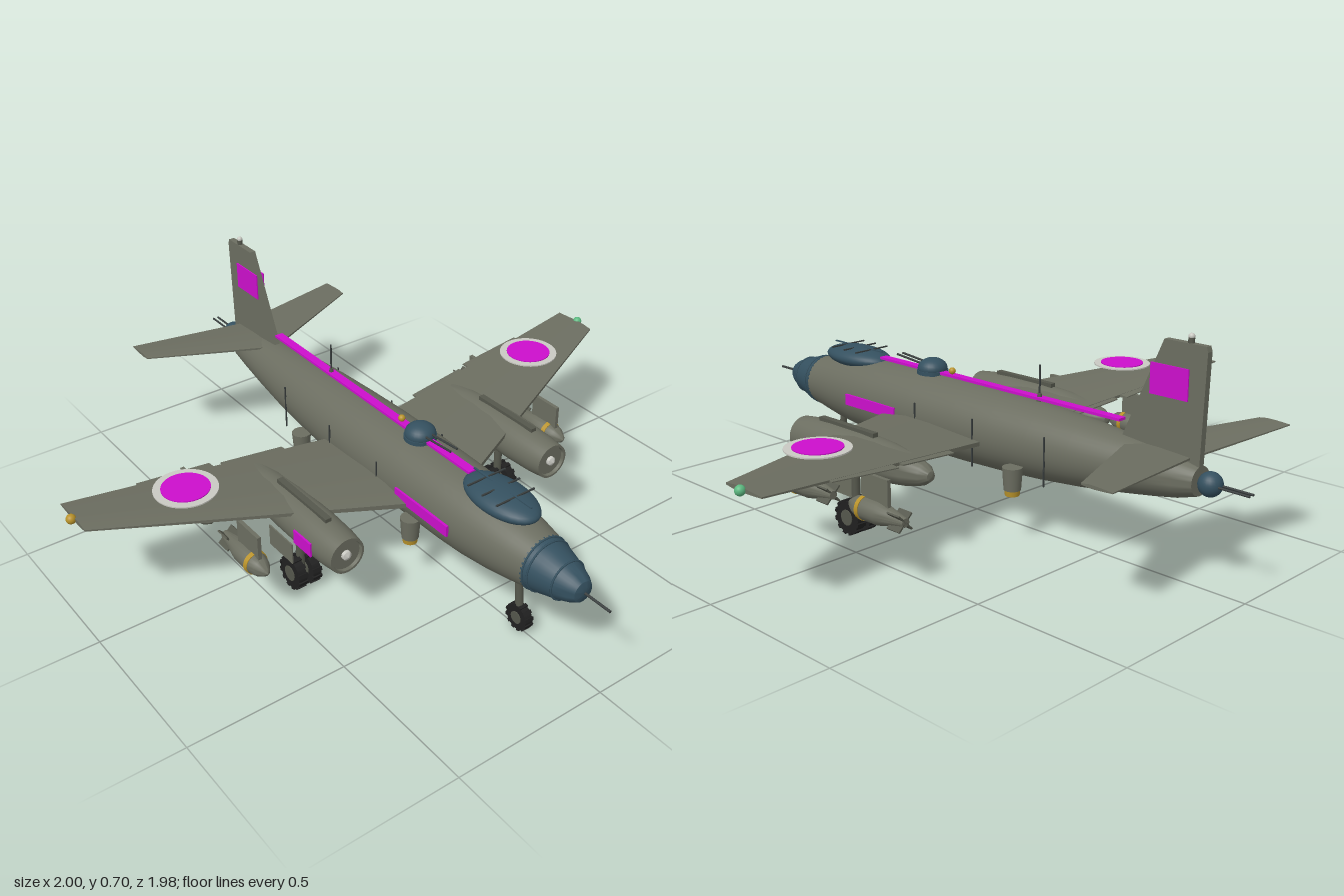
import * as THREE from 'three';
import { toCreasedNormals } from 'three/addons/utils/BufferGeometryUtils.js';

const paint = (name, color) => Object.assign(new THREE.MeshStandardMaterial({ color }), { name });

export function createModel() {
  const model = new THREE.Group();
  model.name = 'aircraft';
  const olive = paint('olive skin', 0x6b6d60), glass = paint('blue glass', 0x34505f);
  const magenta = paint('magenta marking', 0xcc0fcc), pale = paint('pale ring', 0xc9c9c2);
  const rubber = paint('black rubber', 0x202020), metal = paint('dark metal', 0x383d3d);
  const amber = paint('amber', 0xb8922a), green = paint('green light', 0x5cb880);
  const trim = paint('dark olive trim', 0x55574c);

  const add = (name, geo, mat, x = 0, y = 0, z = 0, parent = model) => {
    const m = new THREE.Mesh(geo, mat);
    m.name = name;
    m.position.set(x, y, z);
    parent.add(m);
    return m;
  };
  const box = (name, mat, w, h, d, x, y, z, parent) =>
    add(name, new THREE.BoxGeometry(w, h, d), mat, x, y, z, parent);
  const ball = (name, mat, r, x, y, z, sy = 1) =>
    add(name, new THREE.SphereGeometry(r, 24, 16).scale(1, sy, 1), mat, x, y, z);
  // rod between two points
  const rod = (name, mat, a, b, r0, r1 = r0, sides = 12) => {
    const p = new THREE.Vector3(...a), q = new THREE.Vector3(...b), d = q.clone().sub(p);
    const m = add(name, new THREE.CylinderGeometry(r1, r0, d.length(), sides), mat);
    m.position.copy(p.add(q).multiplyScalar(0.5));
    m.quaternion.setFromUnitVectors(new THREE.Vector3(0, 1, 0), d.normalize());
    return m;
  };
  // body of revolution along x; profile is [x, radius] from tail to nose
  const spin = (name, mat, profile, y, z, sides = 32, smooth = 0.6) => {
    const g = new THREE.LatheGeometry(profile.map(([x, r]) => new THREE.Vector2(r, x)), sides);
    return add(name, toCreasedNormals(g.rotateZ(-Math.PI / 2), smooth), mat, 0, y, z);
  };
  // tapered panel; sections are { z, y, front, back, t }
  const panel = (name, mat, side, root, tip) => {
    const g = new THREE.BoxGeometry(1, 1, 1, 4, 1, 1), p = g.attributes.position;
    const thick = [0.3, 0.65, 0.95, 1, 0.35];
    for (let i = 0; i < p.count; i++) {
      const u = p.getX(i) + 0.5, s = p.getZ(i) * side > 0 ? tip : root;
      p.setXYZ(i, s.back + (s.front - s.back) * u,
        s.y + p.getY(i) * s.t * thick[Math.round(u * 4)], s.z * side);
    }
    return add(name, toCreasedNormals(g, 0.3), mat);
  };

  // fuselage, slightly raised toward the tail
  const hull = spin('fuselage', olive, [[-0.84, 0], [-0.84, 0.042], [-0.78, 0.058], [-0.7, 0.07], [-0.6, 0.083],
    [-0.45, 0.1], [-0.3, 0.112], [-0.15, 0.12], [0, 0.125], [0.2, 0.127], [0.4, 0.124], [0.5, 0.119],
    [0.6, 0.108], [0.68, 0.095], [0.745, 0.083]], 0.288, 0, 40);
  const hp = hull.geometry.attributes.position;
  for (let i = 0; i < hp.count; i++) {
    const x = hp.getX(i);
    if (x < 0) hp.setY(i, hp.getY(i) + 0.016 * (x / 0.84) ** 2);
  }

  // glazed nose with frame hoops and gun
  spin('noseGlass', glass, [[0.74, 0.084], [0.79, 0.074], [0.84, 0.06], [0.88, 0.045], [0.9, 0.033], [0.906, 0.018], [0.908, 0]], 0.288, 0);
  for (const [x, r] of [[0.748, 0.083], [0.765, 0.08], [0.84, 0.061]])
    add('noseHoop', new THREE.TorusGeometry(r, 0.003, 6, 32).rotateY(Math.PI / 2), glass, x, 0.288, 0);
  rod('noseGun', metal, [0.89, 0.288, 0], [1, 0.288, 0], 0.004);

  // tail turret with twin guns
  ball('tailTurret', glass, 0.035, -0.872, 0.304, 0);
  for (const z of [-0.009, 0.009]) rod('tailGun', metal, [-0.88, 0.304, z], [-1, 0.304, z], 0.0035);

  // canopy and frame bars
  add('canopy', new THREE.SphereGeometry(1, 32, 20).scale(0.14, 0.036, 0.077), glass, 0.565, 0.404, 0);
  box('canopyRail', glass, 0.24, 0.004, 0.006, 0.565, 0.437, 0);
  for (const x of [0.5, 0.56, 0.62]) box('canopyBar', metal, 0.005, 0.004, 0.14, x, 0.436, 0);

  // dorsal turret
  ball('dorsalTurret', glass, 0.048, 0.2, 0.428, 0, 0.7);
  add('turretRing', new THREE.CylinderGeometry(0.05, 0.05, 0.012, 28), glass, 0.2, 0.417, 0);
  for (const z of [-0.012, 0.012]) rod('dorsalGun', metal, [0.21, 0.435, z], [0.355, 0.448, z], 0.0035);

  // spine stripe, mast and small lamp
  box('spineStripe', magenta, 1.01, 0.008, 0.028, -0.065, 0.42, 0);
  rod('mastBase', trim, [-0.26, 0.41, 0], [-0.26, 0.435, 0], 0.009, 0.006);
  rod('mast', metal, [-0.26, 0.43, 0], [-0.26, 0.52, 0], 0.003);
  ball('spineLamp', amber, 0.011, 0.11, 0.434, 0);

  // fin, with painted squares, rudder seam and beacon
  const finShape = new THREE.Shape([[-0.84, 0.33], [-0.565, 0.34], [-0.58, 0.38], [-0.71, 0.675], [-0.845, 0.675], [-0.85, 0.66]]
    .map(p => new THREE.Vector2(...p)));
  add('fin', new THREE.ExtrudeGeometry(finShape, { depth: 0.02, bevelEnabled: false }), olive, 0, 0, -0.01);
  rod('finBeaconPost', trim, [-0.79, 0.67, 0], [-0.79, 0.69, 0], 0.009);
  ball('finBeacon', pale, 0.009, -0.79, 0.693, 0);

  for (const s of [-1, 1]) {
    box('finSquare', magenta, 0.125, 0.088, 0.004, -0.733, 0.562, s * 0.013);
    panel('tailplane', olive, s,
      { z: 0.01, y: 0.362, front: -0.6, back: -0.81, t: 0.02 },
      { z: 0.4, y: 0.379, front: -0.76, back: -0.862, t: 0.01 });

    // wing, flap and aileron
    panel('wing', olive, s,
      { z: 0.05, y: 0.268, front: 0.334, back: -0.122, t: 0.046 },
      { z: 0.97, y: 0.348, front: -0.06, back: -0.215, t: 0.014 });
    panel('flap', olive, s,
      { z: 0.26, y: 0.286, front: -0.1, back: -0.165, t: 0.012 },
      { z: 0.47, y: 0.304, front: -0.12, back: -0.18, t: 0.012 });
    panel('aileron', olive, s,
      { z: 0.5, y: 0.307, front: -0.12, back: -0.195, t: 0.01 },
      { z: 0.74, y: 0.328, front: -0.14, back: -0.203, t: 0.01 });
    ball('wingtipLight', s > 0 ? amber : green, 0.015, -0.132, 0.349, s * 0.977);

    // wing roundel
    add('roundelRing', new THREE.CylinderGeometry(0.095, 0.095, 0.004, 48), pale, -0.045, 0.368, s * 0.66);
    add('roundelDisc', new THREE.CylinderGeometry(0.072, 0.072, 0.004, 48), magenta, -0.045, 0.371, s * 0.66);

    // engine nacelle
    const nz = s * 0.39;
    spin('nacelle', olive, [[-0.21, 0], [-0.205, 0.015], [-0.18, 0.032], [-0.12, 0.048], [-0.03, 0.06], [0.08, 0.066],
      [0.22, 0.067], [0.32, 0.063], [0.37, 0.057], [0.37, 0.05], [0.36, 0.048], [0.36, 0]], 0.257, nz, 32);
    spin('intakeHub', pale, [[0.35, 0.016], [0.37, 0.014], [0.378, 0]], 0.257, nz, 16);
    box('nacelleRidge', trim, 0.25, 0.022, 0.02, 0.155, 0.322, nz);
    box('nacelleMark', magenta, 0.085, 0.045, 0.006, 0.243, 0.254, s * 0.456);
    box('gearDoor', olive, 0.12, 0.07, 0.004, 0.125, 0.177, s * 0.455);

    // main gear with twin wheels
    rod('mainStrut', trim, [0.125, 0.055, nz], [0.125, 0.21, nz], 0.013);
    rod('mainAxle', metal, [0.125, 0.055, nz - 0.04], [0.125, 0.055, nz + 0.04], 0.009);
    for (const o of [-0.025, 0.025]) wheel('mainWheel', 0.125, 0.055, nz + o, 0.055, 0.028);

    // tandem bombs on pylons
    for (const x of [-0.16, 0.145]) {
      const bz = s * 0.572;
      spin('bomb', olive, [[-0.14, 0], [-0.14, 0.013], [-0.08, 0.025], [-0.04, 0.034], [0.03, 0.035], [0.06, 0.027],
        [0.085, 0.012], [0.094, 0]].map(([a, r]) => [a + x, r]), 0.195, bz, 20);
      spin('bombBand', amber, [[0.019, 0.034], [0.019, 0.037], [0.034, 0.036], [0.034, 0.032]].map(([a, r]) => [a + x, r]), 0.195, bz, 20);
      for (const turn of [Math.PI / 4, -Math.PI / 4])
        box('bombFin', trim, 0.05, 0.066, 0.005, x - 0.115, 0.195, bz).rotation.x = turn;
      box('bombPylon', olive, 0.11, 0.08, 0.012, x - (x < 0 ? 0.02 : 0), 0.26, bz);
    }

    // fuselage side stripe, seams and belly pods
    box('sideStripe', magenta, 0.24, 0.036, 0.008, 0.365, 0.292, s * 0.126);
    for (const [x, z] of [[-0.375, 0.106], [-0.1, 0.122], [0.15, 0.126]])
      box('panelSeam', metal, 0.004, 0.15, 0.004, x, 0.272, s * z);
    for (const x of [-0.265, 0.31]) {
      rod('bellyPod', olive, [x, 0.165, s * 0.12], [x, 0.235, s * 0.12], 0.026, 0.031, 20);
      rod('bellyPodCap', amber, [x, 0.148, s * 0.12], [x, 0.166, s * 0.12], 0.022, 0.024, 20);
    }
  }

  // nose gear
  rod('noseStrut', trim, [0.67, 0.045, 0], [0.653, 0.21, 0], 0.012);
  wheel('noseWheel', 0.67, 0.045, 0, 0.044, 0.026);

  // tyre with tread blocks and hub
  function wheel(name, x, y, z, r, w) {
    const g = new THREE.Group();
    g.name = name;
    g.position.set(x, y, z);
    model.add(g);
    add('tyre', new THREE.CylinderGeometry(r * 0.92, r * 0.92, w, 24).rotateX(Math.PI / 2), rubber, 0, 0, 0, g);
    add('hub', new THREE.CylinderGeometry(r * 0.45, r * 0.45, w + 0.006, 16).rotateX(Math.PI / 2), trim, 0, 0, 0, g);
    for (let i = 0; i < 12; i++) {
      const a = (i + 0.5) * Math.PI / 6;
      box('tread', rubber, r * 0.14, r * 0.24, w + 0.004, Math.cos(a) * r * 0.92, Math.sin(a) * r * 0.92, 0, g).rotation.z = a;
    }
  }
  return model;
}
